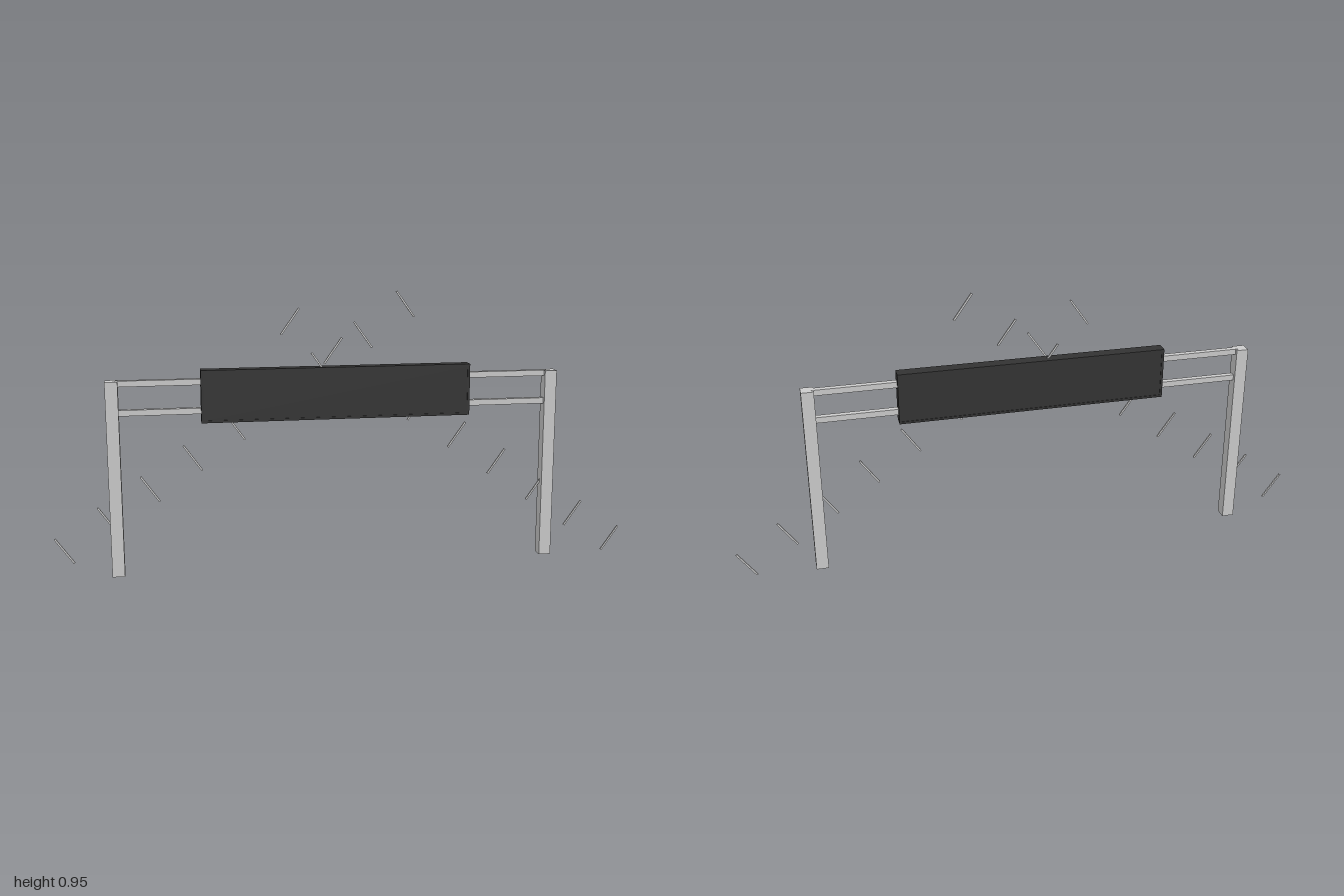
import * as THREE from 'three';

const grey = new THREE.MeshStandardMaterial({ color: 0xcccccc });
const dark = new THREE.MeshStandardMaterial({ color: 0x333333 });

function box(parent, name, size, position, material = grey) {
  const mesh = new THREE.Mesh(new THREE.BoxGeometry(...size), material);
  mesh.name = name;
  mesh.position.set(...position);
  parent.add(mesh);
  return mesh;
}

export function createModel() {
  const model = new THREE.Group();
  model.name = 'overheadSign';
  const centre = -0.038; // middle of the gantry
  const depth = 0.043;

  // Two upright posts
  for (const [name, side] of [['rightPost', -1], ['leftPost', 1]]) {
    box(model, name, [0.042, 0.668, depth], [centre + side * 0.753, 0.34, 0]);
  }

  // Two horizontal rails joining the posts
  for (const [name, y] of [['upperRail', 0.665], ['lowerRail', 0.567]]) {
    box(model, name, [1.48, 0.02, 0.02], [centre, y, 0]);
  }

  // Sign panel: a core with a slim raised rim around both faces
  const sign = new THREE.Group();
  sign.name = 'signPanel';
  sign.position.set(centre, 0.616, 0);
  model.add(sign);
  const w = 0.922, h = 0.178, rim = 0.008;
  box(sign, 'panelCore', [w - 2 * rim, h - 2 * rim, depth - 0.004], [0, 0, 0], dark);
  for (const s of [-1, 1]) {
    box(sign, 'horizontalRim', [w, rim, depth], [0, s * (h - rim) / 2, 0], dark);
    box(sign, 'verticalRim', [rim, h - 2 * rim, depth], [s * (w - rim) / 2, 0, 0], dark);
  }

  // Two crossing diagonal rows of short, thin slanted rods
  const tilt = Math.atan2(0.031, 0.044);
  for (const [side, baseY] of [[-1, 0.1], [1, 0.048]]) {
    const row = new THREE.Group();
    row.name = side < 0 ? 'rightRodRow' : 'leftRodRow';
    model.add(row);
    for (let i = 0; i < 9; i++) {
      const rod = box(row, 'rod', [0.006, 0.107, 0.006],
        [side * (0.967 - i * 0.1455), baseY + i * 0.1015, 0]);
      rod.rotation.z = -side * tilt;
    }
  }
  return model;
}
